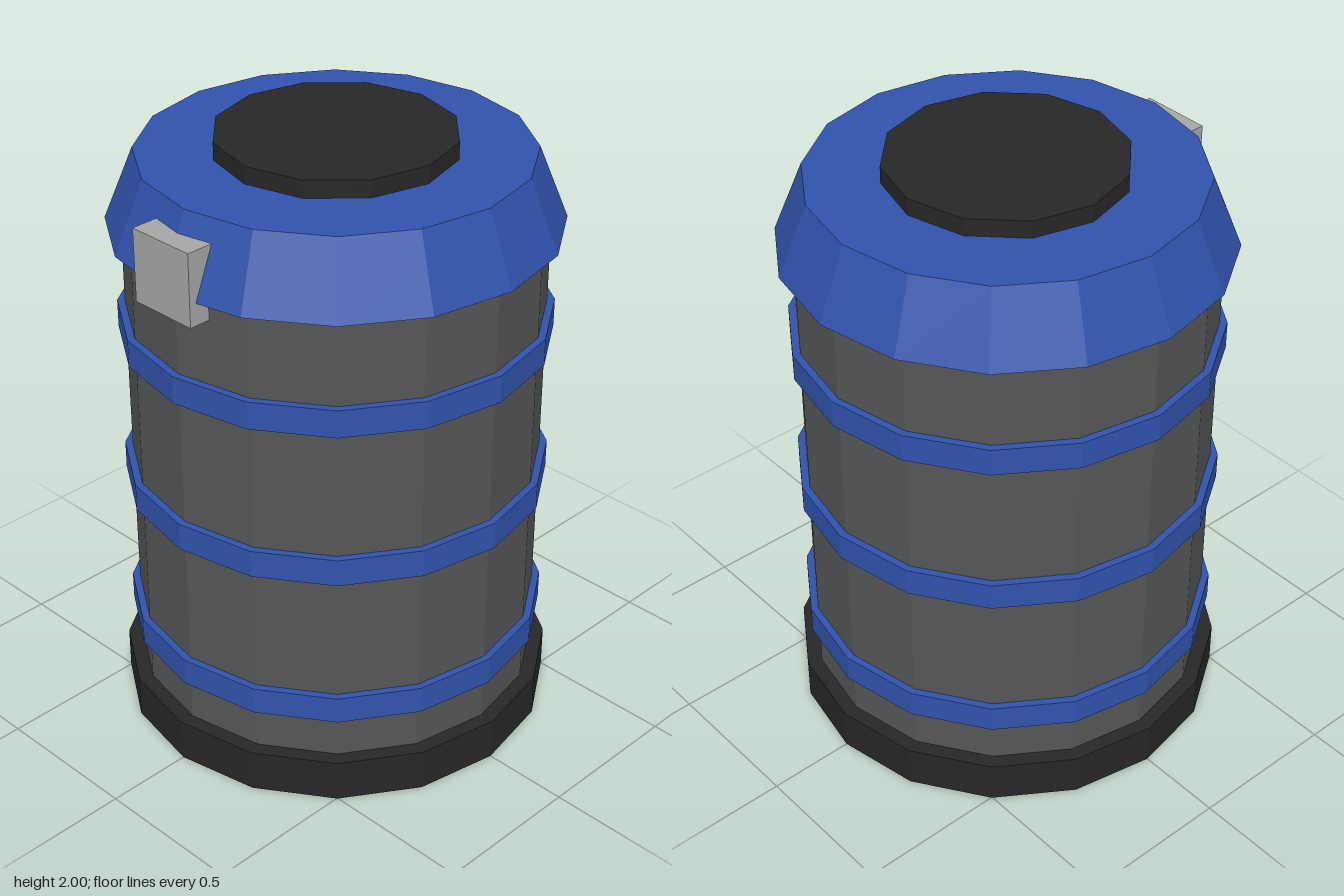
import * as THREE from 'three';

const material = (color) => new THREE.MeshStandardMaterial({ color, flatShading: true });

export function createModel() {
  const barrel = new THREE.Group();
  barrel.name = 'barrel';

  const blue = material(0x3053ac);
  const darkGrey = material(0x555658);
  const black = material(0x272727);
  const steel = material(0xa6a6a8);

  // Faceted drum section between two heights
  const drum = (name, mat, y0, y1, rBottom, rTop = rBottom, sides = 16) => {
    const mesh = new THREE.Mesh(new THREE.CylinderGeometry(rTop, rBottom, y1 - y0, sides), mat);
    mesh.name = name;
    mesh.position.y = (y0 + y1) / 2;
    barrel.add(mesh);
  };

  drum('base', black, 0, 0.143, 0.71);
  drum('body', darkGrey, 0.1, 1.75, 0.662);

  // Three evenly spaced hoops
  for (let i = 0; i < 3; i++) {
    const y = 0.335 + i * 0.521;
    drum(`hoop${i + 1}`, blue, y - 0.046, y + 0.046, 0.686);
  }

  // Tapered lid with a round cap
  drum('lid', blue, 1.71, 1.943, 0.71, 0.616);
  drum('cap', black, 1.9, 2, 0.379, 0.379, 12);

  // Latch plate set into the front of the lid
  const latch = new THREE.Mesh(new THREE.BoxGeometry(0.236, 0.238, 0.12), steel);
  latch.name = 'latch';
  latch.position.set(0, 1.757, 0.65);
  barrel.add(latch);

  return barrel;
}
